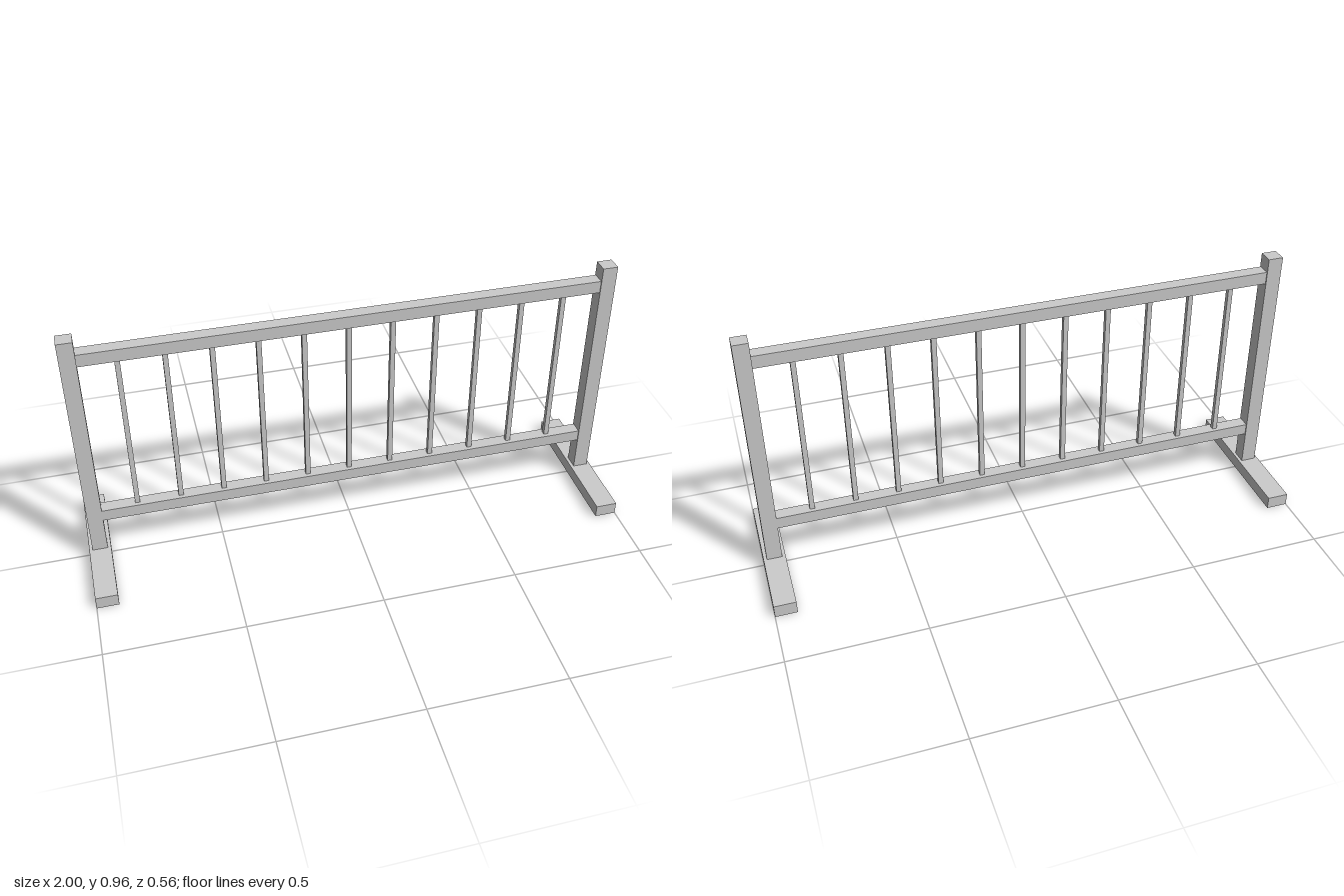
import * as THREE from 'three';

export function createModel() {
  const model = new THREE.Group();
  model.name = 'barrier';
  const material = new THREE.MeshStandardMaterial({ color: 0xcccccc, flatShading: true });

  // Box spanning y0..y1, centred on x and z = 0
  function addBox(name, x, y0, y1, width, depth) {
    const mesh = new THREE.Mesh(new THREE.BoxGeometry(width, y1 - y0, depth), material);
    mesh.name = name;
    mesh.position.set(x, (y0 + y1) / 2, 0);
    model.add(mesh);
  }

  // Feet and posts on both sides
  for (const [side, s] of [['left', 1], ['right', -1]]) {
    addBox(side + 'Foot', s * 0.96, 0, 0.048, 0.08, 0.56);
    addBox(side + 'Post', s * 0.96, 0.048, 0.96, 0.056, 0.056);
  }

  // Rails between the posts
  addBox('topRail', 0, 0.86, 0.907, 1.864, 0.048);
  addBox('bottomRail', 0, 0.18, 0.225, 1.864, 0.048);

  // Evenly spaced square bars
  for (let i = 0; i < 11; i++) {
    addBox('bar' + (i + 1), -0.8 + i * 0.16, 0.225, 0.86, 0.018, 0.018);
  }

  return model;
}
